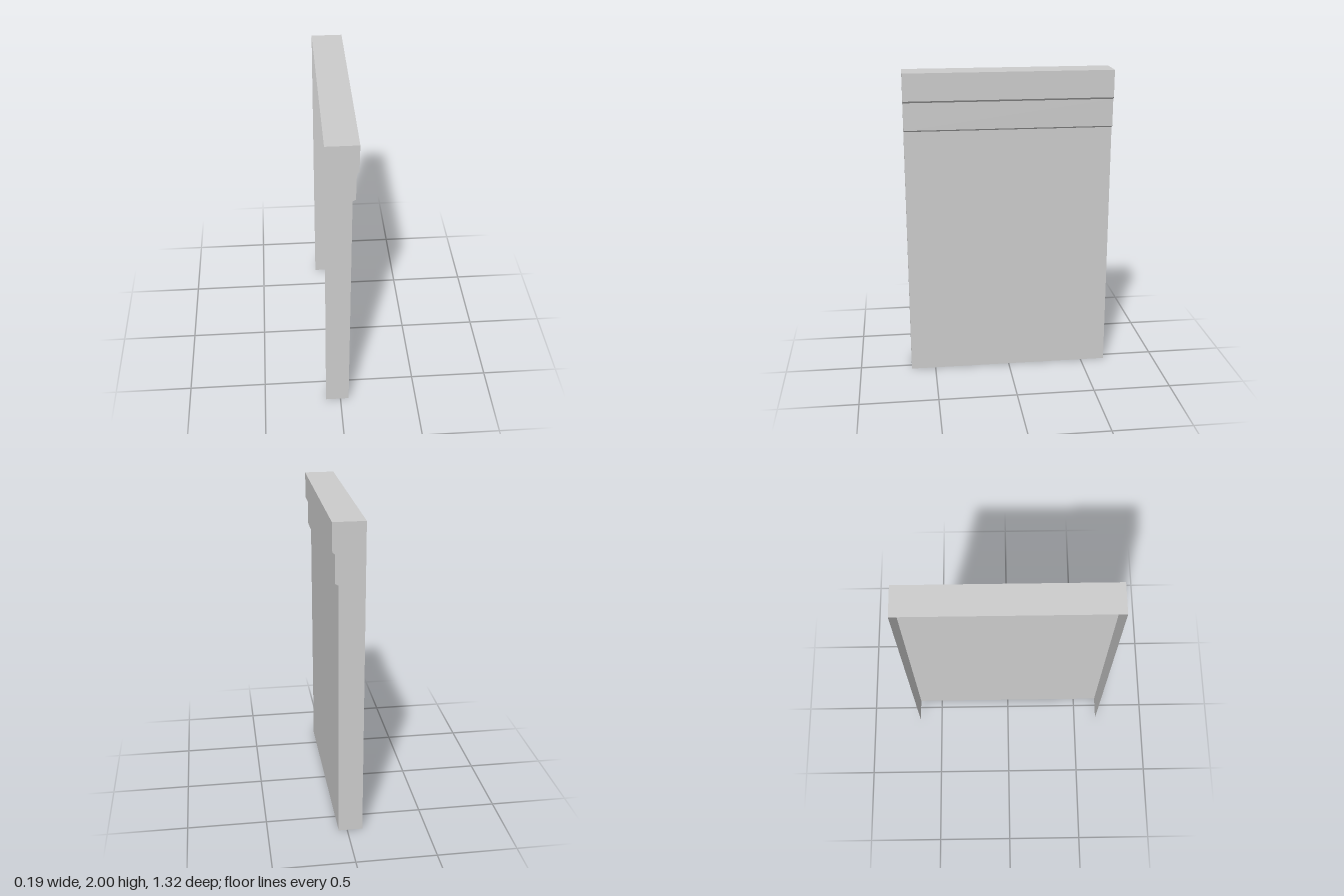
import * as THREE from 'three';

const BACK = -0.097, HALF = 0.66;

// Stepped face outline as [x, y], from the foot up to the top front edge
const FACE = [
  [0.054, 0], [0.06, 1.632], [0.079, 1.643],
  [0.081, 1.816], [0.095, 1.828], [0.097, 2],
];

export function createModel() {
  const group = new THREE.Group();
  group.name = 'steppedWallPanel';
  const material = new THREE.MeshStandardMaterial({
    color: 0xcccccc, flatShading: true, side: THREE.DoubleSide,
  });
  const add = (name, geometry) => {
    const mesh = new THREE.Mesh(geometry, material);
    mesh.name = name;
    group.add(mesh);
    return mesh;
  };

  // Sweep an outline segment across the depth, facing +x / up
  const strip = (name, [x0, y0], [x1, y1]) => {
    const geometry = new THREE.BufferGeometry();
    geometry.setAttribute('position', new THREE.Float32BufferAttribute([
      x0, y0, HALF, x0, y0, -HALF, x1, y1, -HALF, x1, y1, HALF,
    ], 3));
    geometry.setIndex([0, 1, 2, 0, 2, 3]);
    geometry.computeVertexNormals();
    add(name, geometry);
  };

  // Face panel, sloped undersides and bands, then the top
  const names = ['mainPanel', 'lowerBandUnderside', 'lowerBand', 'upperBandUnderside', 'upperBand'];
  names.forEach((name, i) => strip(name, FACE[i], FACE[i + 1]));
  strip('top', FACE[FACE.length - 1], [BACK, 2]);

  // End walls; the back and the underside stay open
  const outline = new THREE.Shape(
    [[BACK, 0], ...FACE, [BACK, 2]].map(([x, y]) => new THREE.Vector2(x, y)));
  add('frontEnd', new THREE.ShapeGeometry(outline)).position.z = HALF;
  const backGeometry = new THREE.ShapeGeometry(outline);
  backGeometry.index.array.reverse();
  backGeometry.computeVertexNormals();
  add('backEnd', backGeometry).position.z = -HALF;

  return group;
}
